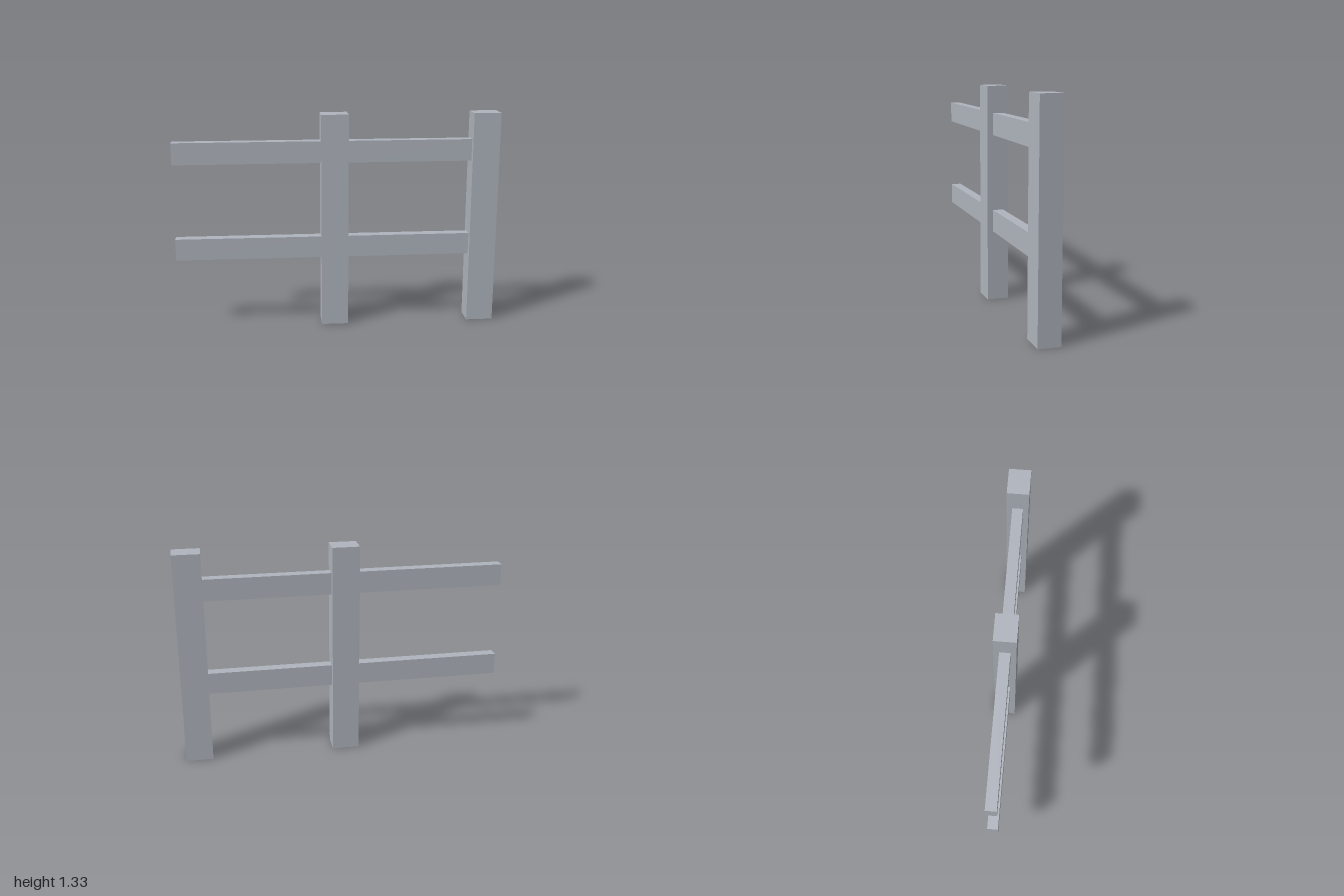
import * as THREE from 'three';

export function createModel() {
  const fence = new THREE.Group();
  fence.name = 'fence';
  const paint = new THREE.MeshStandardMaterial({ color: 0xb0b5be });
  paint.name = 'grey paint';

  // Box given by its x and y ranges, centred on z = 0
  const addBox = (name, x0, x1, y0, y1, depth) => {
    const mesh = new THREE.Mesh(new THREE.BoxGeometry(x1 - x0, y1 - y0, depth), paint);
    mesh.name = name;
    mesh.position.set((x0 + x1) / 2, (y0 + y1) / 2, 0);
    fence.add(mesh);
  };

  // Upright posts
  addBox('middlePost', -0.1, 0.067, 0, 1.333, 0.133);
  addBox('endPost', 0.833, 1, 0, 1.333, 0.133);

  // Horizontal rails, butted against the posts
  for (const [level, y] of [['lower', 0.436], ['upper', 1.035]]) {
    addBox(`${level}RightRail`, -1, -0.1, y, y + 0.134, 0.065);
    addBox(`${level}LeftRail`, 0.067, 0.833, y, y + 0.134, 0.065);
  }
  return fence;
}
